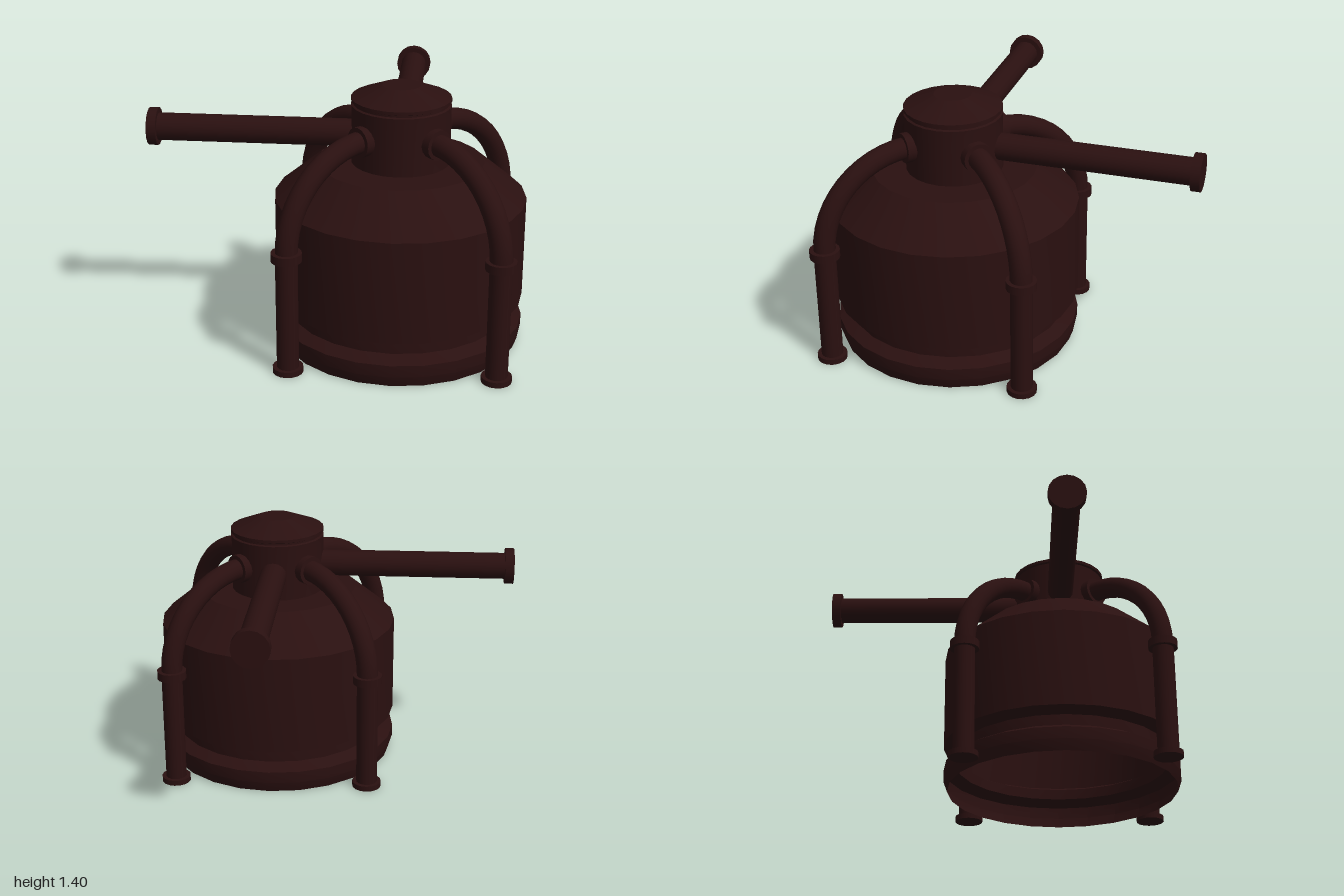
import * as THREE from 'three';
import { toCreasedNormals } from 'three/addons/utils/BufferGeometryUtils.js';

const CENTRE = 0.333;
const material = new THREE.MeshStandardMaterial({ color: 0x2a1010, side: THREE.DoubleSide });

function add(parent, name, geometry, x = 0, y = 0, z = 0) {
  const mesh = new THREE.Mesh(geometry, material);
  mesh.name = name;
  mesh.position.set(x, y, z);
  parent.add(mesh);
  return mesh;
}

// Turned part from [radius, height] pairs, with crisp profile corners
function turned(profile, segments) {
  const points = profile.map(([r, y]) => new THREE.Vector2(r, y));
  return toCreasedNormals(new THREE.LatheGeometry(points, segments), 0.35);
}

function cylinder(radius, height, segments = 16) {
  return new THREE.CylinderGeometry(radius, radius, height, segments);
}

// Side leg: upright pipe, flanges and a quarter-turn bend into the neck
function makeLeg(angle) {
  const leg = new THREE.Group();
  leg.name = 'legPipe';
  leg.rotation.y = angle;
  const d = 0.76, bend = 0.49, joint = 0.65;
  add(leg, 'uprightPipe', cylinder(0.058, joint), d, joint / 2, 0);
  add(leg, 'footFlange', cylinder(0.08, 0.03), d, 0.015, 0);
  add(leg, 'jointCollar', cylinder(0.08, 0.045), d, joint, 0);
  add(leg, 'bendPipe', new THREE.TorusGeometry(bend, 0.058, 16, 12, Math.PI / 2), d - bend, joint + 0.01, 0);
  add(leg, 'neckCollar', cylinder(0.08, 0.06), 0.265, joint + bend + 0.01, 0).rotation.z = Math.PI / 2;
  return leg;
}

// Long horizontal outlet with an end flange
function makeOutlet(angle) {
  const outlet = new THREE.Group();
  outlet.name = 'outletPipe';
  outlet.rotation.y = angle;
  const inner = 0.2, outer = 1 + CENTRE, y = 1.132;
  add(outlet, 'outletTube', cylinder(0.073, outer - inner - 0.01), (inner + outer - 0.01) / 2, y, 0).rotation.z = Math.PI / 2;
  add(outlet, 'outletFlange', cylinder(0.1, 0.05), outer - 0.025, y, 0).rotation.z = Math.PI / 2;
  return outlet;
}

export function createModel() {
  const model = new THREE.Group();
  model.name = 'pressureVessel';
  const tank = new THREE.Group();
  tank.name = 'tank';
  tank.position.set(CENTRE, 0, CENTRE);
  model.add(tank);

  // Open-bottomed body with a recessed groove above the base ring
  add(tank, 'body', turned([
    [0.645, 0], [0.666, 0.06], [0.666, 0.125], [0.6, 0.16], [0.6, 0.22],
    [0.666, 0.25], [0.666, 0.8], [0.44, 0.988], [0, 0.988],
  ], 24));

  // Neck with a shallow groove and bevelled cap
  add(tank, 'neckAndCap', turned([
    [0.26, 0.97], [0.26, 1.27], [0.262, 1.3], [0.25, 1.305], [0.25, 1.315],
    [0.262, 1.32], [0.262, 1.337], [0.1, 1.402], [0, 1.402],
  ], 24));

  for (let i = 0; i < 4; i++) tank.add(makeLeg(Math.PI / 4 + i * Math.PI / 2));
  for (const angle of [Math.PI, Math.PI / 2]) tank.add(makeOutlet(angle));
  return model;
}
